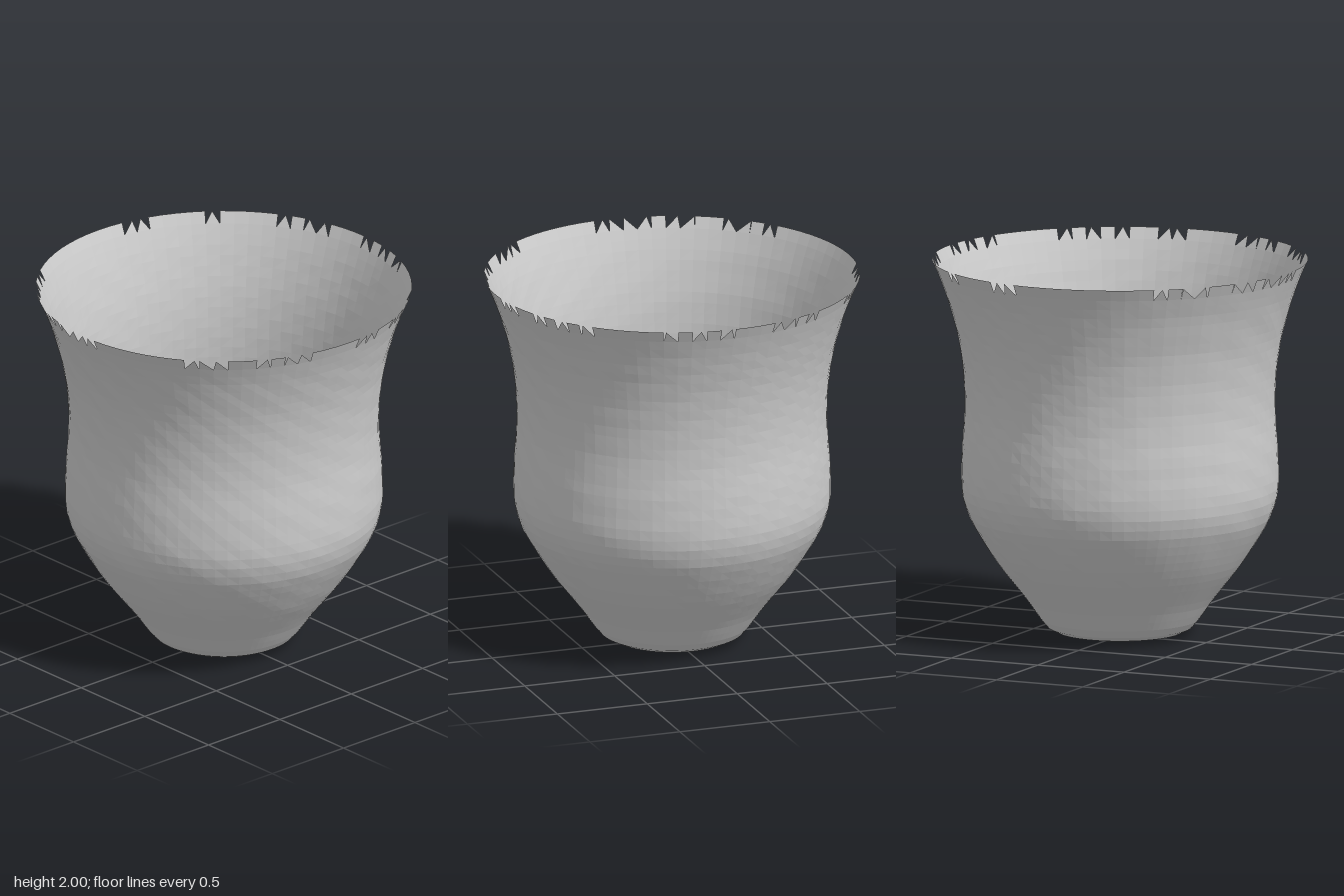
import * as THREE from 'three';

const SIDES = 80;
const RIM_BASE = 1.94;

// Radius of the flared lip just below and at the rim
const lipRadius = (y) => 0.957 + (y - RIM_BASE) * 0.45;

function seeded(seed) {
  let s = seed;
  return () => (s = (s * 16807) % 2147483647) / 2147483647;
}

export function createModel() {
  const group = new THREE.Group();
  group.name = 'cup';
  const material = new THREE.MeshStandardMaterial({
    color: 0xcccccc, flatShading: true, side: THREE.DoubleSide,
  });

  // Thin-walled body: rounded foot, belly, waist and flared lip
  const profile = new THREE.SplineCurve([
    [0, 0], [0.16, 0.005], [0.3, 0.02], [0.37, 0.045], [0.42, 0.1],
    [0.49, 0.2], [0.645, 0.4], [0.77, 0.6], [0.812, 0.7], [0.831, 0.81],
    [0.826, 1.0], [0.813, 1.2], [0.82, 1.4], [0.85, 1.6], [0.905, 1.8],
    [lipRadius(RIM_BASE), RIM_BASE],
  ].map(([r, y]) => new THREE.Vector2(r, y)));
  const points = profile.getSpacedPoints(44);
  points[0].set(0, 0);
  const bodyGeometry = new THREE.LatheGeometry(points, SIDES);

  // Slight hand-made unevenness, fading out at the foot and rim
  const pos = bodyGeometry.attributes.position;
  for (let i = 0; i < pos.count; i++) {
    const x = pos.getX(i), y = pos.getY(i), z = pos.getZ(i);
    const fade = Math.max(0, Math.min(1, y * 3, (RIM_BASE - y) * 8));
    const k = 1 + 0.002 * fade * Math.sin(19 * x + 23 * y) * Math.sin(21 * z - 17 * y);
    pos.setXYZ(i, x * k, y, z * k);
  }
  bodyGeometry.computeVertexNormals();
  const body = new THREE.Mesh(bodyGeometry, material);
  body.name = 'body';
  group.add(body);

  // Broken rim: whole panels with scattered triangular teeth and notches
  const random = seeded(41);
  const rimPoint = (column, y) => {
    const a = (column / SIDES) * Math.PI * 2, r = lipRadius(y);
    return [r * Math.sin(a), y, r * Math.cos(a)];
  };
  const vertices = [];
  for (let i = 0; i < SIDES; i++) {
    const a = ((i + 0.5) / SIDES) * Math.PI * 2;
    // The left-rear stretch of the rim is nearly intact
    const worn = Math.sin(a) - 0.2 * Math.cos(a) > -0.15 || Math.cos(a) > 0.5;
    const chance = worn ? 0.5 : 0.12;
    const a0 = rimPoint(i, RIM_BASE), b0 = rimPoint(i + 1, RIM_BASE);
    const a1 = rimPoint(i, 2), b1 = rimPoint(i + 1, 2);
    if (random() > chance) {
      vertices.push(...a0, ...b0, ...b1, ...a0, ...b1, ...a1);
    } else {
      const tip = rimPoint(i + random(), 2);
      vertices.push(...a0, ...b0, ...tip);
    }
  }
  const rimGeometry = new THREE.BufferGeometry();
  rimGeometry.setAttribute('position', new THREE.Float32BufferAttribute(vertices, 3));
  rimGeometry.computeVertexNormals();
  const rim = new THREE.Mesh(rimGeometry, material);
  rim.name = 'jaggedRim';
  group.add(rim);

  return group;
}
